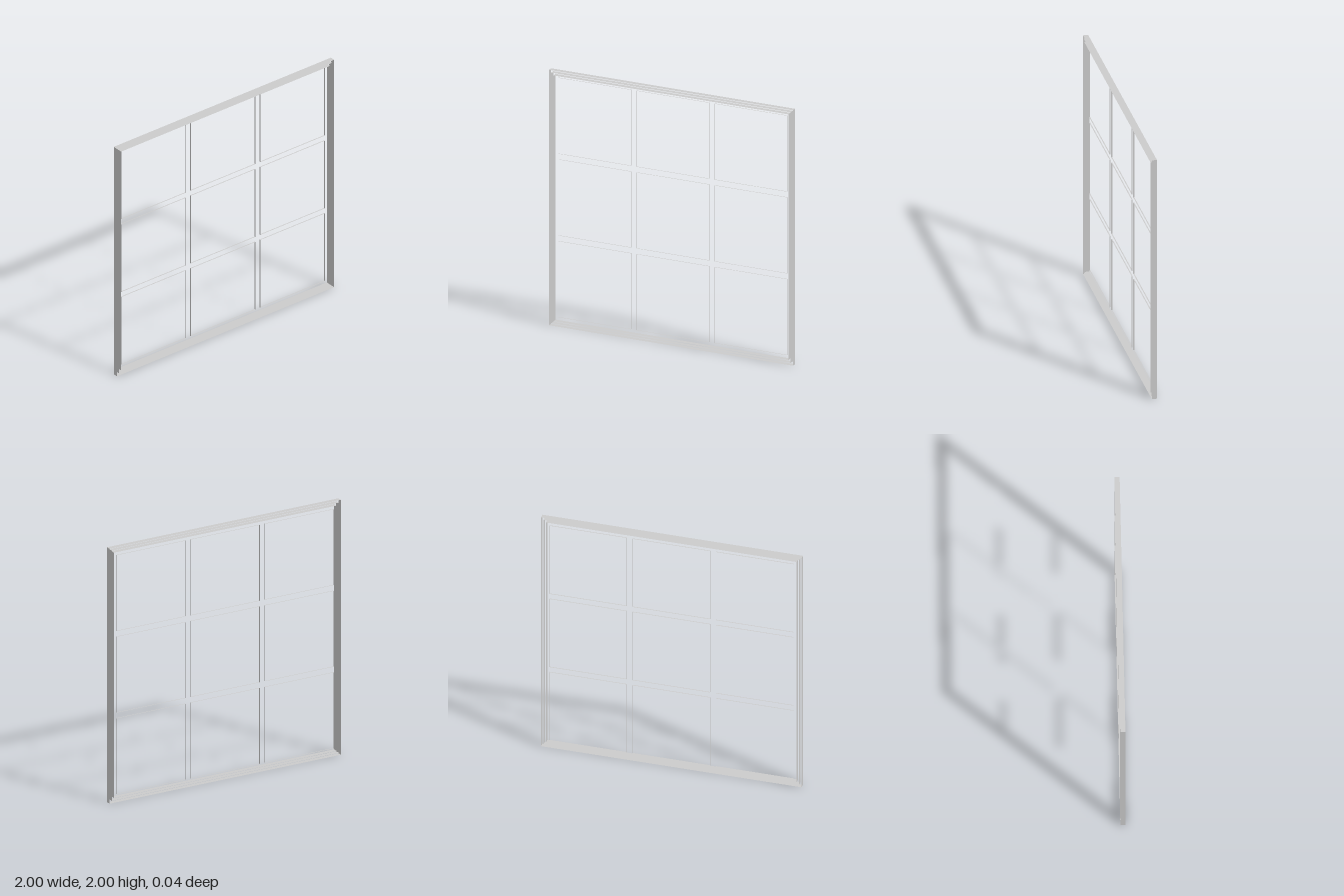
import * as THREE from 'three';

const material = new THREE.MeshStandardMaterial({
  color: 0xcccccc, side: THREE.DoubleSide, flatShading: true,
});

// Open rectangular band: four walls running along z, without front or back caps
function rectBand(name, cx, cy, width, height, z0, z1) {
  const band = new THREE.Group();
  band.name = name;
  const depth = z1 - z0;
  for (const side of [-1, 1]) {
    const upright = new THREE.Mesh(new THREE.PlaneGeometry(depth, height), material);
    upright.name = name + (side < 0 ? 'Right' : 'Left');
    upright.rotation.y = side * Math.PI / 2;
    upright.position.x = side * width / 2;
    const rail = new THREE.Mesh(new THREE.PlaneGeometry(width, depth), material);
    rail.name = name + (side < 0 ? 'Bottom' : 'Top');
    rail.rotation.x = -side * Math.PI / 2;
    rail.position.y = side * height / 2;
    band.add(upright, rail);
  }
  band.position.set(cx, cy, (z0 + z1) / 2);
  return band;
}

export function createModel() {
  const model = new THREE.Group();
  model.name = 'windowFrame';

  // Outer frame: nested rims stepping inwards
  const frame = new THREE.Group();
  frame.name = 'outerFrame';
  for (const inset of [0, 0.019, 0.038]) {
    const size = 2 - 2 * inset;
    frame.add(rectBand('frameRim', 0, 1, size, size, -0.019, 0.019));
  }
  model.add(frame);

  // Three by three pane openings between the glazing bars
  const panes = new THREE.Group();
  panes.name = 'paneOpenings';
  const pitch = 0.64, size = 0.595;
  for (let row = -1; row <= 1; row++) {
    for (let col = -1; col <= 1; col++) {
      panes.add(rectBand('paneEdge', col * pitch, 1 + row * pitch, size, size, -0.019, -0.011));
    }
  }
  model.add(panes);

  return model;
}
